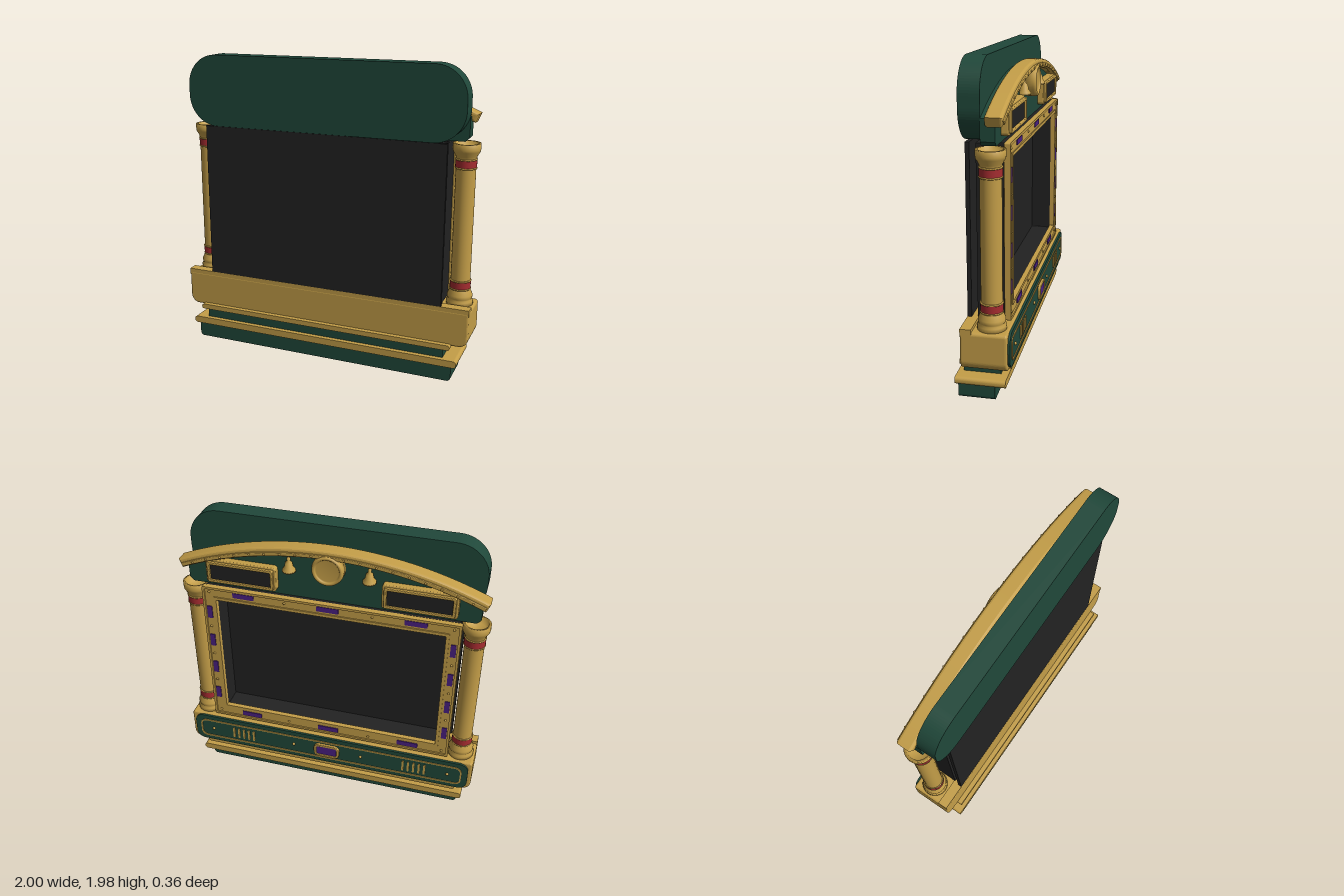
import * as THREE from 'three';

const mat = (name, color) => Object.assign(new THREE.MeshStandardMaterial({ color }), { name });

export function createModel() {
  const green = mat('dark green', 0x20483a);
  const gold = mat('gold', 0xc49e48);
  const red = mat('red', 0xa62c30);
  const black = mat('black', 0x222222);
  const purple = mat('purple', 0x4a2082);
  const model = new THREE.Group();

  const add = (name, geo, material, x = 0, y = 0, z = 0) => {
    const m = new THREE.Mesh(geo, material);
    m.name = name;
    m.position.set(x, y, z);
    model.add(m);
    return m;
  };
  // box given by its limits
  const box = (name, material, x0, x1, y0, y1, z0, z1) =>
    add(name, new THREE.BoxGeometry(x1 - x0, y1 - y0, z1 - z0), material, (x0 + x1) / 2, (y0 + y1) / 2, (z0 + z1) / 2);
  // rounded rectangle, separate radii for top and bottom corners
  const trace = (p, w, h, rt, rb = rt) => {
    const a = w / 2, b = h / 2, q = Math.PI / 2;
    p.moveTo(-a + rb, -b);
    p.lineTo(a - rb, -b);
    p.absarc(a - rb, -b + rb, rb, -q, 0);
    p.lineTo(a, b - rt);
    p.absarc(a - rt, b - rt, rt, 0, q);
    p.lineTo(-a + rt, b);
    p.absarc(-a + rt, b - rt, rt, q, 2 * q);
    p.lineTo(-a, -b + rb);
    p.absarc(-a + rb, -b + rb, rb, 2 * q, 3 * q);
    return p;
  };
  const extrude = (name, shape, material, x, y, z0, z1, bevel = 0) =>
    add(name, new THREE.ExtrudeGeometry(shape, {
      depth: z1 - z0 - 2 * bevel, curveSegments: 10, bevelEnabled: bevel > 0,
      bevelSize: bevel, bevelThickness: bevel, bevelOffset: -bevel, bevelSegments: 3,
    }), material, x, y, z0 + bevel);
  const plate = (name, material, x, y, w, h, r, z0, z1, bevel = 0, rb = r) =>
    extrude(name, trace(new THREE.Shape(), w, h, r, rb), material, x, y, z0, z1, bevel);
  const frame = (name, material, x, y, w, h, r, t, z0, z1, bevel = 0) => {
    const s = trace(new THREE.Shape(), w, h, r);
    s.holes.push(trace(new THREE.Path(), w - 2 * t, h - 2 * t, Math.max(r - t, 0.004)));
    return extrude(name, s, material, x, y, z0, z1, bevel);
  };
  const stud = (x, y, z, r = 0.008) => {
    add('stud', new THREE.SphereGeometry(r, 8, 6), gold, x, y, z);
  };

  // stepped base
  plate('plinth', green, 0, 0.0525, 1.82, 0.105, 0.01, -0.055, 0.165, 0, 0.025);
  plate('lowerMoulding', gold, 0, 0.123, 1.89, 0.046, 0.02, -0.125, 0.178);
  box('neck', green, -0.85, 0.85, 0.14, 0.21, -0.08, 0.146);
  plate('upperMoulding', gold, 0, 0.222, 1.79, 0.034, 0.015, -0.15, 0.16);

  // console body with its decorated panel
  plate('console', gold, 0, 0.3425, 2, 0.235, 0.02, -0.147, 0.127, 0.012, 0.06);
  box('consoleLedge', gold, -1, 1, 0.44, 0.48, 0.06, 0.126);
  plate('consolePanel', green, 0, 0.345, 1.95, 0.215, 0.06, -0.16, -0.14);
  frame('panelTrim', gold, 0, 0.345, 1.87, 0.15, 0.045, 0.01, -0.166, -0.155);
  frame('buttonBezel', gold, 0, 0.345, 0.18, 0.105, 0.035, 0.018, -0.178, -0.155, 0.004);
  plate('button', purple, 0, 0.345, 0.15, 0.075, 0.025, -0.172, -0.155);
  for (const s of [-1, 1]) {
    for (let i = -2; i <= 2; i++) plate('ventSlat', gold, s * 0.61 + i * 0.037, 0.345, 0.014, 0.085, 0.006, -0.167, -0.155);
    for (const x of [0.24, 0.84]) stud(s * x, 0.345, -0.162, 0.011);
  }

  // rear cover and recessed screen housing
  box('rearCover', black, -0.82, 0.82, 0.47, 1.515, 0.1, 0.125);
  box('screen', black, -0.81, 0.81, 0.47, 1.51, 0.035, 0.066);
  const housing = new THREE.Shape();
  trace(housing, 1.62, 1.04, 0.005);
  housing.holes.push(trace(new THREE.Path(), 1.47, 0.89, 0.004));
  extrude('screenHousing', housing, black, 0, 0.995, -0.1, 0.036);

  // screen surround with coloured inlays and studs
  frame('screenFrame', gold, 0, 0.997, 1.65, 1.045, 0.01, 0.075, -0.125, -0.095, 0.005);
  frame('frameOuterLip', gold, 0, 0.997, 1.65, 1.045, 0.01, 0.016, -0.134, -0.12);
  frame('frameInnerLip', gold, 0, 0.997, 1.51, 0.905, 0.006, 0.02, -0.132, -0.1);
  for (const y of [0.515, 1.482]) {
    for (const x of [-0.55, 0, 0.55]) plate('inlay', purple, x, y, 0.14, 0.034, 0.004, -0.131, -0.122);
    for (const x of [-0.78, -0.28, 0.28, 0.78]) stud(x, y, -0.127);
  }
  for (const s of [-1, 1]) {
    for (const y of [0.67, 0.89, 1.11, 1.33]) plate('inlay', purple, s * 0.786, y, 0.034, 0.09, 0.004, -0.131, -0.122);
    for (const y of [0.78, 1, 1.22]) stud(s * 0.786, y, -0.127);
  }

  // turned columns with red bands
  const profile = [[0, 0.45], [0.085, 0.45], [0.085, 0.485], [0.072, 0.492], [0.08, 0.505], [0.08, 0.525], [0.066, 0.555],
    [0.062, 0.57], [0.062, 1.4], [0.066, 1.42], [0.083, 1.45], [0.086, 1.465], [0.086, 1.5], [0.07, 1.5], [0.06, 1.46], [0, 1.46]]
    .map(([r, y]) => new THREE.Vector2(r, y));
  for (const s of [-1, 1]) {
    add('column', new THREE.LatheGeometry(profile, 28), gold, s * 0.9, 0, -0.04);
    for (const y of [0.592, 1.375]) {
      add('columnBand', new THREE.CylinderGeometry(0.066, 0.066, 0.05, 28), red, s * 0.9, y, -0.04);
      for (const d of [-0.027, 0.027]) {
        const ring = add('bandRing', new THREE.TorusGeometry(0.063, 0.006, 6, 28), gold, s * 0.9, y + d, -0.04);
        ring.rotation.x = Math.PI / 2;
      }
    }
  }

  // header board and arched pediment
  plate('headerBoard', green, 0, 1.75, 1.86, 0.465, 0.2, 0.01, 0.133);
  const R = 2.45, cy = 1.88 - R;
  const pediment = new THREE.Shape();
  const pa = Math.asin(0.925 / (R - 0.03));
  pediment.moveTo(-0.9, 1.515);
  pediment.lineTo(0.9, 1.515);
  pediment.lineTo(0.925, 1.54);
  pediment.absarc(0, cy, R - 0.03, Math.PI / 2 - pa, Math.PI / 2 + pa);
  pediment.lineTo(-0.925, 1.54);
  extrude('pediment', pediment, green, 0, 0, -0.072, 0.012);
  const arc = (r0, r1, half) => {
    const a = Math.asin(half / r1), s = new THREE.Shape();
    s.absarc(0, cy, r1, Math.PI / 2 - a, Math.PI / 2 + a);
    s.absarc(0, cy, r0, Math.PI / 2 + a, Math.PI / 2 - a, true);
    return s;
  };
  const archOptions = (depth, b) => ({ depth, curveSegments: 40, bevelEnabled: true, bevelSize: b, bevelThickness: b, bevelOffset: -b, bevelSegments: 3 });
  add('arch', new THREE.ExtrudeGeometry(arc(R - 0.06, R, 0.97), archOptions(0.07, 0.016)), gold, 0, 0, -0.104);
  add('archBead', new THREE.ExtrudeGeometry(arc(R - 0.05, R - 0.025, 0.95), archOptions(0.012, 0.004)), gold, 0, 0, -0.124);
  for (let i = -9; i <= 9; i++) {
    const a = i * 0.041;
    stud(Math.sin(a) * (R - 0.0375), cy + Math.cos(a) * (R - 0.0375), -0.128, 0.007);
  }

  // framed signs and bells
  for (const s of [-1, 1]) {
    plate('signBack', gold, s * 0.56, 1.63, 0.46, 0.165, 0.02, -0.115, -0.06, 0.006);
    frame('signFrame', gold, s * 0.56, 1.63, 0.43, 0.14, 0.012, 0.018, -0.132, -0.11, 0.004);
    plate('signFace', black, s * 0.56, 1.63, 0.4, 0.11, 0.004, -0.12, -0.112);
    const bell = [[0, 0], [0.042, 0], [0.042, 0.012], [0.028, 0.03], [0.022, 0.06], [0.01, 0.072], [0.012, 0.09], [0, 0.1]]
      .map(([r, y]) => new THREE.Vector2(r, y));
    add('bell', new THREE.LatheGeometry(bell, 18), gold, s * 0.25, 1.7, -0.095);
  }

  // round medallion facing the rear
  const medallion = [[0, 0], [0.1, 0], [0.1, 0.05], [0.094, 0.066], [0.082, 0.07], [0.076, 0.062], [0.07, 0.056], [0, 0.056]]
    .map(([r, y]) => new THREE.Vector2(r, y));
  add('medallion', new THREE.LatheGeometry(medallion, 36), gold, 0, 1.755, -0.07).rotation.x = -Math.PI / 2;

  return model;
}
